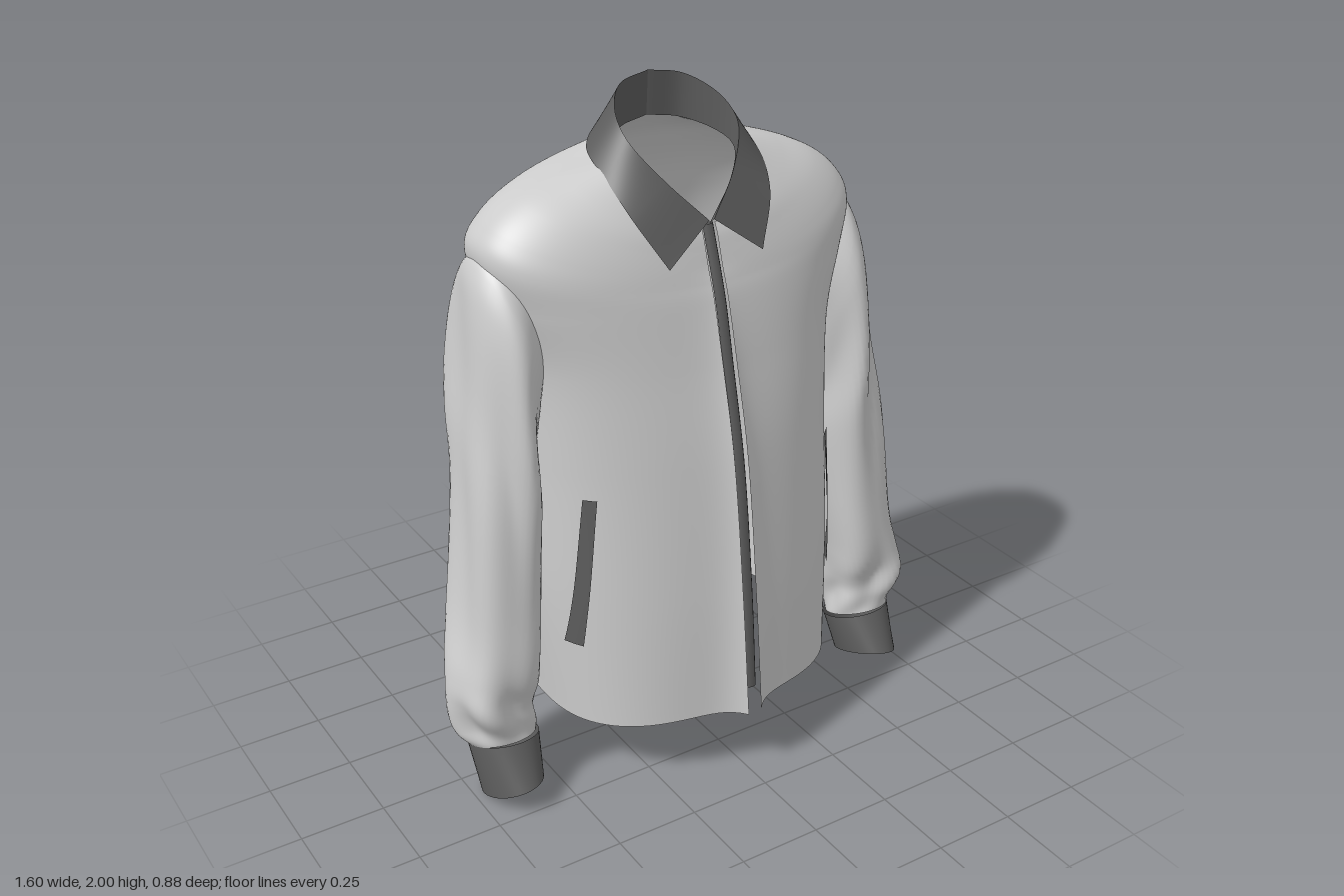
import * as THREE from 'three';
import { ParametricGeometry } from 'three/addons/geometries/ParametricGeometry.js';

const cloth = new THREE.MeshStandardMaterial({ color: 0xcccccc, side: THREE.DoubleSide });
const trim = new THREE.MeshStandardMaterial({ color: 0x5c5c5c, side: THREE.DoubleSide });

// Smooth interpolation through rows of numbers, t in row units
function sample(rows, t) {
  const n = rows.length - 1;
  const i = Math.min(Math.max(Math.floor(t), 0), n - 1);
  const f = t - i;
  const at = k => rows[Math.min(Math.max(k, 0), n)];
  const [a, b, c, d] = [at(i - 1), at(i), at(i + 1), at(i + 2)];
  return b.map((p, k) => p + 0.5 * f * (c[k] - a[k]
    + f * (2 * a[k] - 5 * p + 4 * c[k] - d[k] + f * (3 * (p - c[k]) + d[k] - a[k]))));
}

const bump = (x, centre, width) => Math.exp(-(((x - centre) / width) ** 2));

// Jacket body rows from hem to neck:
// half width, front z, back z, side z, y front, y side, y back, front squareness, back squareness, front flare, back fold
const bodyRows = [
  [0.46, 0.37, -0.315, 0, 0.22, 0.20, 0.23, 2.5, 4, 0.07, 0.132],
  [0.485, 0.35, -0.315, 0, 0.60, 0.60, 0.60, 2.2, 4, 0.05, 0.1],
  [0.48, 0.31, -0.318, 0, 1.00, 1.00, 1.00, 2.15, 3.8, 0.037, 0.065],
  [0.49, 0.26, -0.32, -0.02, 1.28, 1.28, 1.30, 2.4, 3.4, 0.022, 0.028],
  [0.55, 0.23, -0.315, -0.04, 1.44, 1.47, 1.50, 2.4, 3, 0.01, 0.006],
  [0.588, 0.215, -0.30, -0.05, 1.50, 1.60, 1.60, 2.3, 2.8, 0.005, 0],
  [0.555, 0.205, -0.28, -0.05, 1.54, 1.675, 1.68, 2.25, 2.7, 0, 0],
  [0.47, 0.193, -0.25, -0.05, 1.58, 1.74, 1.75, 2.25, 2.7, 0, 0],
  [0.35, 0.18, -0.215, -0.05, 1.62, 1.785, 1.81, 2.3, 2.6, 0, 0],
  [0.18, 0.165, -0.15, 0, 1.65, 1.825, 1.875, 2, 2, 0, 0],
];
const GAP = 0.022;

// u runs from the front opening round the side to the centre back, t is in rows
function bodyPoint(u, t, target) {
  const [rx, zF, zB, zS, yF, yS, yB, eF, eB, flare, fold] = sample(bodyRows, t);
  const s = Math.sin(u * Math.PI), c = Math.cos(u * Math.PI);
  const front = c >= 0, e = front ? eF : eB;
  const r = 1 / Math.pow(Math.abs(s) ** e + Math.abs(c) ** e, 1 / e);
  const sx = s * r, sz = Math.abs(c) * r;
  const x = front ? GAP + (rx - GAP) * sx : rx * sx;
  let z = zS + ((front ? zF : zB) - zS) * sz;
  if (front) z += flare * Math.exp((GAP - x) / 0.05) * sz;
  else z -= fold * sz * (bump(x, 0.232, 0.066) + 0.22 * bump(x, 0.41, 0.05));
  const y = yS * s * s + (front ? yF : yB) * c * c;
  return target.set(x, y, z);
}

// Sleeve and cuff rows: outer x, outer y, inner x, inner y, z centre, z half depth, forward tilt, wrinkle
// (the first sleeve row is tucked inside the armhole)
const sleeveRows = [
  [0.545, 1.63, 0.40, 1.27, -0.06, 0.135, 0, 0],
  [0.597, 1.575, 0.445, 1.19, -0.058, 0.185, 0, 0.002],
  [0.627, 1.46, 0.465, 1.12, -0.052, 0.205, 0, 0.005],
  [0.66, 1.20, 0.475, 1.00, -0.035, 0.2, 0, 0.01],
  [0.69, 0.95, 0.48, 0.85, -0.005, 0.18, 0, 0.01],
  [0.74, 0.60, 0.49, 0.60, 0.025, 0.157, 0, 0.008],
  [0.78, 0.42, 0.525, 0.42, 0.055, 0.138, 0, 0.008],
  [0.795, 0.32, 0.548, 0.32, 0.065, 0.122, 0.01, 0.012],
  [0.772, 0.23, 0.552, 0.25, 0.07, 0.11, 0.02, 0.01],
  [0.75, 0.18, 0.55, 0.18, 0.085, 0.095, 0.03, 0],
];
const cuffRows = [
  [0.752, 0.185, 0.54, 0.175, 0.085, 0.098, 0.025, 0],
  [0.735, 0.03, 0.565, 0.06, 0.14, 0.115, 0.04, 0],
];

function ringPoint(rows) {
  return (u, v, target) => {
    const [ox, oy, ix, iy, zc, rz, tilt, wrinkle] = sample(rows, v * (rows.length - 1));
    const a = -u * Math.PI * 2, s = Math.sin(a), c = Math.cos(a);
    const w = wrinkle * (Math.sin(5 * a + 7 * v) + 0.6 * Math.sin(3 * a + 24 * v));
    target.set((ox + ix) / 2 + s * ((ox - ix) / 2 + w),
      (oy + iy) / 2 + s * (oy - iy) / 2 + c * tilt, zc + c * (rz + w));
  };
}

// Collar edges from centre back to the front, left half
const curve = pts => new THREE.CatmullRomCurve3(pts.map(p => new THREE.Vector3(...p)));
const stand = curve([[0, 1.872, -0.145], [0.1, 1.855, -0.125], [0.168, 1.825, -0.04],
  [0.168, 1.80, 0.04], [0.11, 1.74, 0.11], [0.008, 1.65, 0.165]]);
const foldLine = curve([[0, 2, -0.135], [0.1, 1.982, -0.115], [0.165, 1.935, -0.035],
  [0.175, 1.875, 0.045], [0.11, 1.775, 0.125], [0.008, 1.665, 0.185]]);
const outerEdge = curve([[0, 1.885, -0.19], [0.13, 1.872, -0.17], [0.235, 1.835, -0.07],
  [0.246, 1.785, 0.045], [0.222, 1.695, 0.14], [0.15, 1.56, 0.213]]);
const between = (a, b) => (u, v, target) =>
  target.copy(a.getPoint(1 - u)).lerp(b.getPoint(1 - u), v);

// Pocket welt: a slanted strip laid just over the body
function pocketPoint(u, v, target) {
  const t = 0.7 + 1.12 * v;
  const x = 0.428 - 0.045 * v + 0.03 * u;
  let lo = 0, hi = 0.5;
  for (let i = 0; i < 30; i++) {
    const mid = (lo + hi) / 2;
    if (bodyPoint(mid, t, target).x < x) lo = mid; else hi = mid;
  }
  bodyPoint(lo, t, target);
  target.x += 0.004;
  target.z += 0.007;
}

// Front fastening strip set just behind the opening's edges
const zipLine = curve([[0, 0.3, 0.415], [0, 0.6, 0.388], [0, 1, 0.335],
  [0, 1.28, 0.272], [0, 1.45, 0.232], [0, 1.65, 0.165]]);
function zipPoint(u, v, target) {
  const a = u * Math.PI * 2;
  target.copy(zipLine.getPoint(v));
  target.x += 0.017 * Math.sin(a);
  target.z += 0.008 * Math.cos(a);
}

export function createModel() {
  const group = new THREE.Group();
  const add = (name, fn, nu, nv, material) => {
    const mesh = new THREE.Mesh(new ParametricGeometry(fn, nu, nv), material);
    mesh.name = name;
    group.add(mesh);
  };
  // Left part plus its mirror image
  const pair = (name, fn, nu, nv, material) => {
    add('left' + name, fn, nu, nv, material);
    add('right' + name, (u, v, target) => {
      fn(1 - u, v, target);
      target.x *= -1;
    }, nu, nv, material);
  };

  pair('Body', (u, v, p) => bodyPoint(u, v * (bodyRows.length - 1), p), 80, 72, cloth);
  pair('Sleeve', ringPoint(sleeveRows), 48, 64, cloth);
  pair('Cuff', ringPoint(cuffRows), 40, 6, trim);
  pair('CollarStand', between(foldLine, stand), 40, 4, trim);
  pair('CollarFall', between(outerEdge, foldLine), 40, 6, trim);
  pair('PocketWelt', pocketPoint, 2, 16, trim);
  add('zip', zipPoint, 8, 40, trim);
  return group;
}
